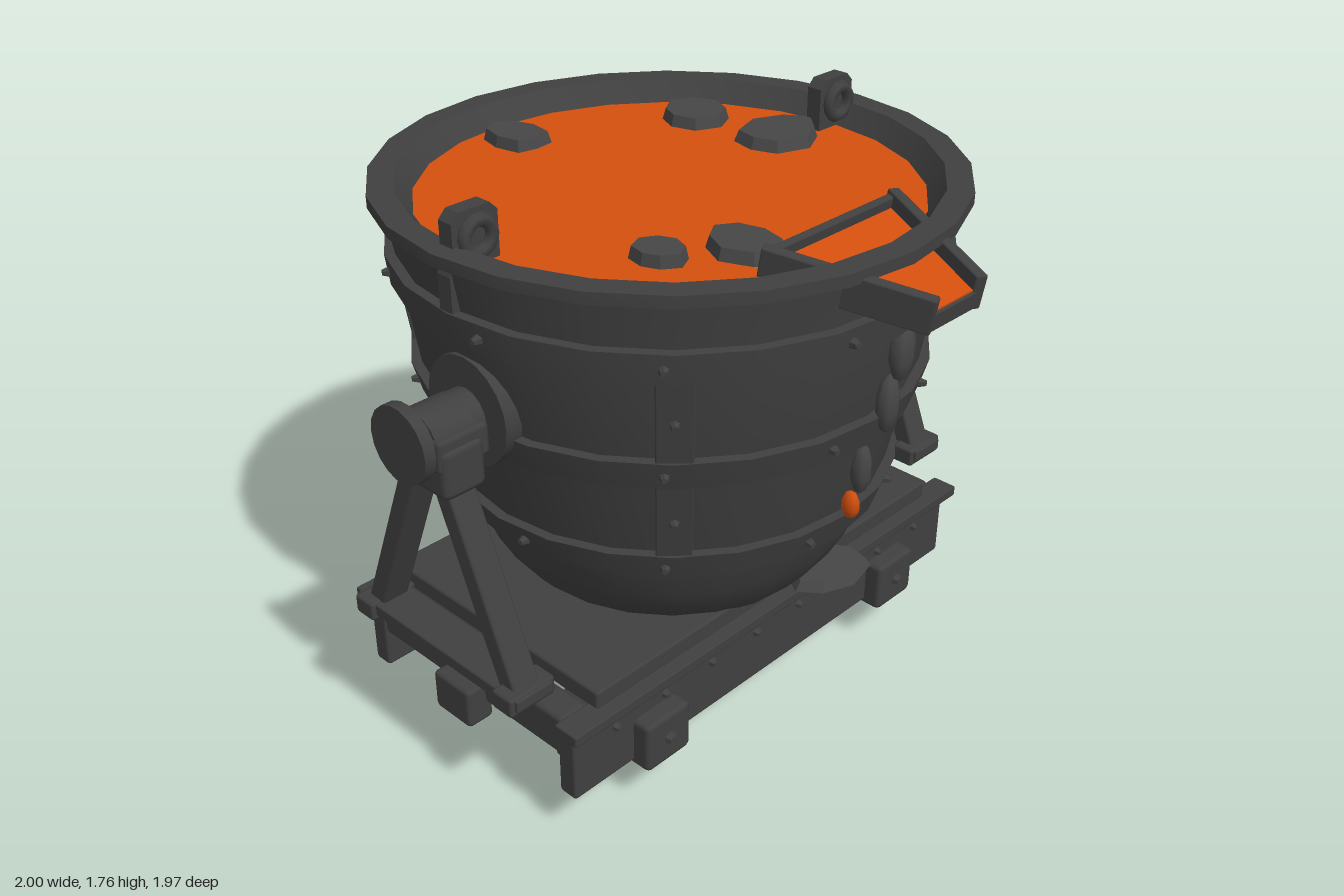
import * as THREE from 'three';
import { toCreasedNormals } from 'three/addons/utils/BufferGeometryUtils.js';
import { RoundedBoxGeometry } from 'three/addons/geometries/RoundedBoxGeometry.js';

export function createModel() {
  const iron = new THREE.MeshStandardMaterial({ color: 0x404040 });
  iron.name = 'dark iron';
  const slag = new THREE.MeshStandardMaterial({ color: 0x464646 });
  slag.name = 'cooled slag';
  const molten = new THREE.MeshStandardMaterial({ color: 0xd4500e });
  molten.name = 'molten metal';

  const root = new THREE.Group();
  root.name = 'ladleCar';
  const group = (name, parent = root) => {
    const g = new THREE.Group();
    g.name = name;
    parent.add(g);
    return g;
  };
  const body = group('body');
  body.position.z = -0.012;

  // Helpers
  const add = (parent, name, geo, mat, x = 0, y = 0, z = 0) => {
    const m = new THREE.Mesh(geo, mat);
    m.name = name;
    m.position.set(x, y, z);
    parent.add(m);
    return m;
  };
  const box = (parent, name, w, h, d, x, y, z) =>
    add(parent, name, new RoundedBoxGeometry(w, h, d, 1, Math.min(w, h, d) * 0.15), iron, x, y, z);
  const lathe = (pts, seg) =>
    toCreasedNormals(new THREE.LatheGeometry(pts.map(p => new THREE.Vector2(p[0], p[1])), seg), 0.5);
  const rodX = (parent, name, r, len, x, y, z, seg = 16) => {
    const m = add(parent, name, toCreasedNormals(new THREE.CylinderGeometry(r, r, len, seg), 0.5), iron, x, y, z);
    m.rotation.z = Math.PI / 2;
    return m;
  };
  // Rivet whose axis points along z
  const rivetGeo = toCreasedNormals(new THREE.CylinderGeometry(0.009, 0.017, 0.024, 6).rotateX(Math.PI / 2), 0.3);

  // Bowl: outer wall, rim and inner lip
  const wall = [[0.48, 0.46], [0.54, 0.53], [0.59, 0.62], [0.63, 0.73], [0.66, 0.82], [0.71, 1.07],
    [0.735, 1.16], [0.77, 1.4], [0.782, 1.5], [0.805, 1.635]];
  const wallR = y => {
    const i = Math.max(1, wall.findIndex(p => p[1] >= y));
    const [a, b] = [wall[i - 1], wall[i]];
    return a[0] + (b[0] - a[0]) * (y - a[1]) / (b[1] - a[1]);
  };
  add(body, 'bowl', lathe([[0, 0.46], ...wall, [0.845, 1.64], [0.845, 1.675], [0.77, 1.675], [0.71, 1.59]], 24), iron);
  const surface = add(body, 'moltenSurface', new THREE.CircleGeometry(0.735, 24), molten, 0, 1.61, 0);
  surface.rotation.x = -Math.PI / 2;

  // Riveted hoops
  for (const [lo, hi] of [[1.41, 1.5], [1.07, 1.16], [0.73, 0.82]]) {
    const hoop = group('hoop', body);
    const a = wallR(lo), b = wallR(hi), t = 0.03;
    add(hoop, 'hoopBand', lathe([[a - 0.02, lo], [a + t, lo], [b + t, hi], [b - 0.02, hi]], 24), iron);
    for (let k = 0; k < 10; k++) {
      const ang = THREE.MathUtils.degToRad(25 + 36 * k), y = (lo + hi) / 2, r = wallR(y) + t + 0.005;
      add(hoop, 'hoopRivet', rivetGeo, iron, Math.sin(ang) * r, y, Math.cos(ang) * r).rotation.y = ang;
    }
  }

  // Upright straps between the hoops
  for (let k = 0; k < 4; k++) {
    const side = group('strapColumn', body);
    side.rotation.y = Math.PI / 4 + k * Math.PI / 2;
    for (const [lo, hi] of [[1.15, 1.42], [0.81, 1.08]]) {
      const y = (lo + hi) / 2;
      const strap = group('strap', side);
      strap.position.set(0, y, wallR(y) + 0.004);
      strap.rotation.x = Math.atan2(wallR(hi) - wallR(lo), hi - lo);
      box(strap, 'strapPlate', 0.1, hi - lo, 0.03, 0, 0, 0);
      add(strap, 'strapRivet', rivetGeo, iron, 0, 0, 0.02);
    }
  }

  // Lifting lugs on the rim
  const lugShape = new THREE.Shape([[-0.075, 1.5], [0.09, 1.5], [0.09, 1.6], [0.075, 1.64], [0.075, 1.74], [0.05, 1.765],
    [-0.05, 1.765], [-0.075, 1.74]].map(p => new THREE.Vector2(...p)));
  for (const s of [-1, 1]) {
    const lug = group('liftingLug', body);
    lug.position.x = s * 0.715;
    const plate = add(lug, 'lugPlate', new THREE.ExtrudeGeometry(lugShape, { depth: 0.05, bevelEnabled: false }), iron, 0, 0, -0.035);
    if (s < 0) { plate.rotation.y = Math.PI; plate.position.z = 0.015; }
    add(lug, 'lugEye', new THREE.TorusGeometry(0.045, 0.02, 6, 14), iron, 0, 1.69, 0.025);
  }

  // Pouring spout, sloping outwards
  const spout = group('spout', body);
  spout.position.set(0, 1.69, 0.585);
  spout.rotation.x = 0.165;
  const L = 0.4, wIn = 0.26, wOut = 0.095;
  const trough = (grow, depth) => {
    const s = new THREE.Shape([[-wIn - grow, 0], [wIn + grow, 0], [wOut + grow, -L], [-wOut - grow, -L]]
      .map(p => new THREE.Vector2(...p)));
    return new THREE.ExtrudeGeometry(s, { depth, bevelEnabled: false }).rotateX(-Math.PI / 2);
  };
  add(spout, 'spoutFloor', trough(0, 0.045), iron, 0, -0.1, 0);
  add(spout, 'spoutMelt', trough(-0.01, 0.008), molten, 0, -0.048, 0);
  for (const s of [-1, 1]) {
    const w = box(spout, 'spoutWall', 0.035, 0.1, Math.hypot(L, wIn - wOut) + 0.02, s * (wIn + wOut) / 2, -0.05, L / 2);
    w.rotation.y = -s * Math.atan2(wIn - wOut, L);
  }
  box(spout, 'spoutLip', 0.2, 0.055, 0.035, 0, -0.073, L - 0.01);
  box(spout, 'spoutInnerBar', 0.52, 0.05, 0.025, 0, -0.035, 0.005);
  box(body, 'spoutBracket', 0.045, 0.08, 0.08, 0, 1.51, 0.8);

  // Hardened drips and one molten drop below the spout
  for (const [x, y, z, r, h, mat] of [[0.08, 1.34, 0.775, 0.048, 0.09, slag], [0.055, 1.185, 0.76, 0.042, 0.09, slag],
    [0.025, 0.97, 0.71, 0.034, 0.08, slag], [0, 0.86, 0.7, 0.022, 0.045, molten]]) {
    add(body, mat === slag ? 'slagDrip' : 'moltenDrop', new THREE.SphereGeometry(1, 7, 5), mat, x, y, z).scale.set(r, h, 0.03);
  }

  // Irregular slag slabs, floating on the melt and spilt on the deck
  let seed = 7;
  const rnd = () => (seed = (seed * 16807) % 2147483647) / 2147483647;
  const slab = (name, x, y, z, w, h, d) => {
    const g = new THREE.CylinderGeometry(0.86, 1, 1, 8);
    const f = Array.from({ length: 8 }, () => 0.84 + 0.26 * rnd());
    const p = g.attributes.position;
    for (let i = 0; i < p.count; i++) {
      const k = Math.round(Math.atan2(p.getX(i), p.getZ(i)) / (Math.PI / 4) + 8) % 8;
      p.setX(i, p.getX(i) * f[k]);
      p.setZ(i, p.getZ(i) * f[k]);
    }
    add(body, name, toCreasedNormals(g, 0.1), slag, x, y, z).scale.set(w / 2, h, d / 2);
  };
  for (const [x, z, w, d] of [[-0.06, -0.59, 0.18, 0.24], [0.46, -0.34, 0.23, 0.23], [0.51, -0.03, 0.32, 0.24],
    [-0.37, 0.32, 0.15, 0.16], [-0.175, 0.44, 0.2, 0.27]]) slab('floatingSlag', x, 1.62, z, w, 0.05, d);
  slab('spiltSlag', 0.135, 0.492, 0.53, 0.31, 0.03, 0.2);

  // Tilting bracket and eye at the back
  box(body, 'backBracket', 0.23, 0.17, 0.26, 0, 0.965, -0.775);
  add(body, 'backEye', new THREE.TorusGeometry(0.055, 0.022, 6, 14), iron, 0, 0.965, -0.9).rotation.y = Math.PI / 2;

  // Trunnions, bearings and A-frame stands
  for (const s of [-1, 1]) {
    const stand = group(s > 0 ? 'leftStand' : 'rightStand', body);
    rodX(stand, 'trunnionPlate', 0.16, 0.15, s * 0.697, 1.2, 0, 20);
    rodX(stand, 'trunnionAxle', 0.08, 0.25, s * 0.86, 1.19, 0);
    rodX(stand, 'trunnionCap', 0.113, 0.035, s * 0.9825, 1.19, 0, 18);
    box(stand, 'bearingBlock', 0.14, 0.15, 0.24, s * 0.88, 1.115, 0);
    rodX(stand, 'bearingCap', 0.1, 0.13, s * 0.88, 1.17, 0);
    box(stand, 'bearingFlange', 0.17, 0.1, 0.22, s * 0.87, 1.17, 0);
    for (const f of [-1, 1]) {
      const leg = box(stand, 'standLeg', 0.09, 0.62, 0.065, s * 0.885, 0.78, f * 0.18);
      leg.rotation.x = -f * Math.atan2(0.23, 0.56);
      box(stand, 'standFoot', 0.16, 0.06, 0.08, s * 0.885, 0.495, f * 0.305);
    }
    box(stand, 'standSill', 0.13, 0.04, 0.71, s * 0.885, 0.5, 0);
  }

  // Deck and chassis
  const chassis = group('chassis', body);
  box(chassis, 'deck', 1.49, 0.06, 0.89, 0, 0.45, 0);
  for (const x of [-0.79, 0, 0.79]) box(chassis, 'crossBeam', 0.1, 0.13, 0.8, x, 0.355, 0);
  for (const s of [-1, 1]) {
    box(chassis, 'buffer', 0.09, 0.13, 0.155, s * 0.86, 0.295, 0);
    box(chassis, 'sideBeam', 1.69, 0.24, 0.065, 0, 0.285, s * 0.422);
    box(chassis, 'beamFlange', 1.735, 0.035, 0.085, 0, 0.408, s * 0.447);
    for (let k = 0; k < 8; k++)
      add(chassis, 'beamRivet', rivetGeo, iron, (k - 3.5) * 0.196, 0.335, s * 0.46).rotation.y = s > 0 ? 0 : Math.PI;
    for (const x of [-0.53, 0.53]) {
      box(chassis, 'axleBox', 0.175, 0.165, 0.11, x, 0.23, s * 0.457);
      const bolt = add(chassis, 'axleBolt', rivetGeo, iron, x, 0.23, s * 0.516);
      bolt.rotation.y = s > 0 ? 0 : Math.PI;
      bolt.scale.set(1.5, 1.5, 1);
    }
  }

  // Flanged wheels with dished outer faces, on two axles
  const wheelGeo = lathe([[0, 0], [0.21, 0], [0.21, 0.015], [0.172, 0.022], [0.162, 0.075], [0.125, 0.075], [0.12, 0.03],
    [0.05, 0.03], [0.045, 0.07], [0, 0.07]], 16);
  for (const x of [-0.53, 0.53]) {
    const set = group('wheelSet', body);
    set.position.set(x, 0.21, 0);
    const axle = add(set, 'axle', new THREE.CylinderGeometry(0.026, 0.026, 0.86, 10), iron);
    axle.rotation.x = Math.PI / 2;
    for (const s of [-1, 1]) {
      add(set, 'wheel', wheelGeo, iron, 0, 0, s * 0.245).rotation.x = s * Math.PI / 2;
      const hub = add(set, 'innerHub', toCreasedNormals(new THREE.CylinderGeometry(0.05, 0.05, 0.03, 12), 0.6), iron, 0, 0, s * 0.235);
      hub.rotation.x = Math.PI / 2;
    }
  }

  return root;
}
